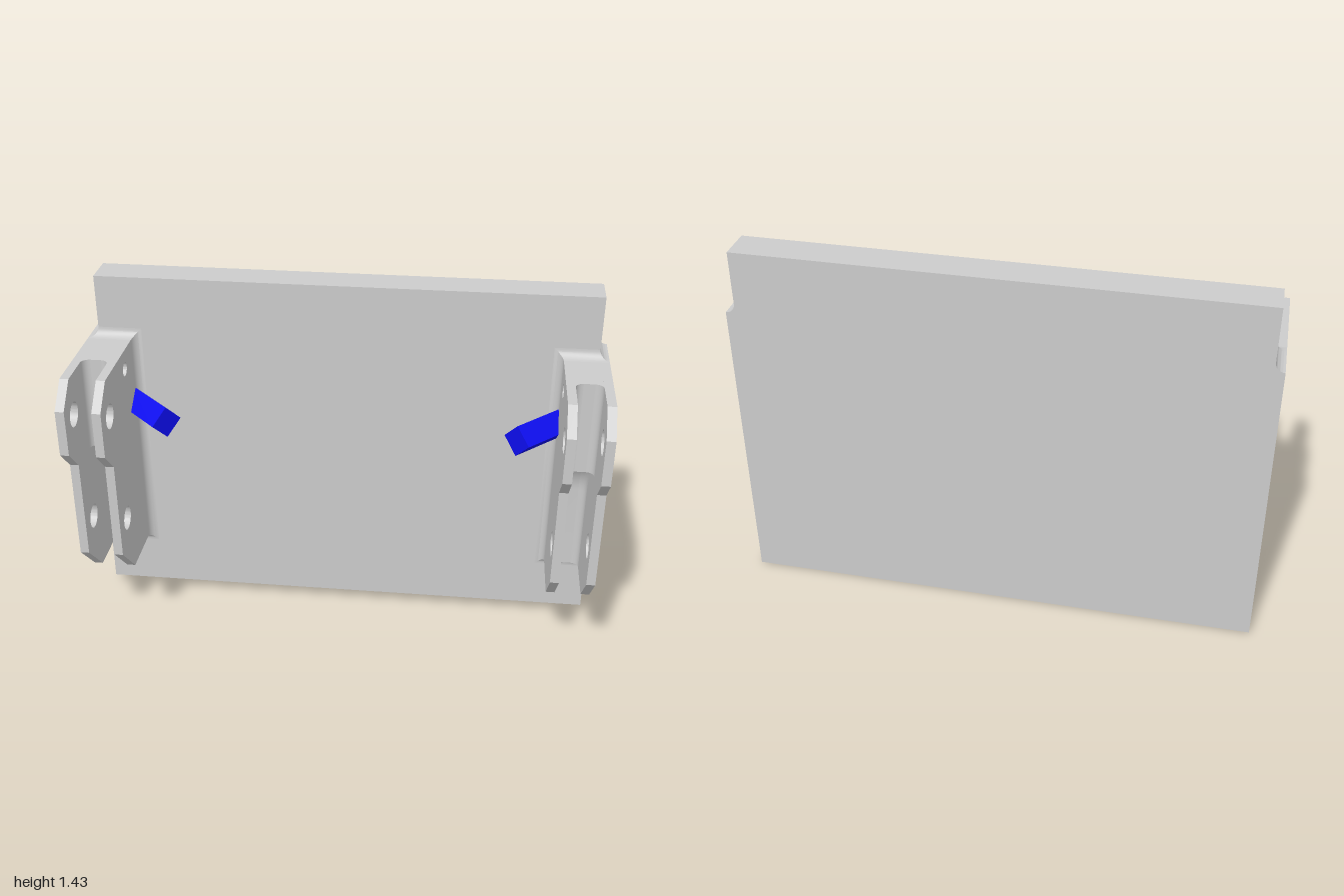
import * as THREE from 'three';
import { toCreasedNormals } from 'three/addons/utils/BufferGeometryUtils.js';

const FRONT = -0.173, BACK = -0.31;       // plate faces
const TOP = 1.185, BOTTOM = 0.283;        // bracket height range
const INNER = 0.83, CHEEK = 0.034, R = 0.036;
const SLOT_IN = INNER + CHEEK, SLOT_OUT = 1 - CHEEK;

const grey = new THREE.MeshStandardMaterial({ color: 0xcccccc, side: THREE.DoubleSide });
const blue = new THREE.MeshStandardMaterial({ color: 0x0d0dee });

function part(name, geometry, material = grey) {
  const mesh = new THREE.Mesh(toCreasedNormals(geometry, 0.5), material);
  mesh.name = name;
  return mesh;
}

// Surface through rows of equally many [x, y, z] points
function loft(rows) {
  const n = rows[0].length, index = [];
  for (let i = 0; i < rows.length - 1; i++) {
    for (let j = 0; j < n - 1; j++) {
      const a = i * n + j, b = a + n;
      index.push(a, b, a + 1, b, b + 1, a + 1);
    }
  }
  const g = new THREE.BufferGeometry();
  g.setAttribute('position', new THREE.Float32BufferAttribute(rows.flat(2), 3));
  g.setIndex(index);
  g.computeVertexNormals();
  return g;
}

// Side outline given as (z, y), with round holes [z, y, r], extruded from x0 to x1
function sideExtrude(points, holes, x0, x1) {
  const shape = new THREE.Shape(points.map(([z, y]) => new THREE.Vector2(-z, y)));
  for (const [z, y, r] of holes) {
    shape.holes.push(new THREE.Path().absarc(-z, y, r, 0, Math.PI * 2, true));
  }
  const g = new THREE.ExtrudeGeometry(shape, { depth: x1 - x0, bevelEnabled: false, curveSegments: 24 });
  return g.rotateY(Math.PI / 2).translate(x0, 0, 0);
}

// Concave quarter arc as [distance, height] pairs
const concave = (r, n = 8) => Array.from({ length: n + 1 }, (_, i) => {
  const a = (i / n) * Math.PI / 2;
  return [r - r * Math.sin(a), r - r * Math.cos(a)];
});

// Back plate with narrower top and sloping bottom edge
function plate() {
  const s = new THREE.Shape();
  s.moveTo(-1, 0);
  s.lineTo(1, 0);
  s.lineTo(1, TOP);
  s.absarc(1, TOP + R, R, -Math.PI / 2, -Math.PI, true);
  s.lineTo(1 - R, 1.43);
  s.lineTo(R - 1, 1.43);
  s.lineTo(R - 1, TOP + R);
  s.absarc(-1, TOP + R, R, 0, -Math.PI / 2, true);
  s.lineTo(-1, 0);
  const g = new THREE.ExtrudeGeometry(s, { depth: FRONT - BACK, bevelEnabled: false, curveSegments: 8 });
  g.translate(0, 0, BACK);
  const p = g.attributes.position;
  for (let i = 0; i < p.count; i++) {
    if (p.getY(i) < 0.01 && p.getZ(i) > FRONT - 0.01) p.setY(i, 0.05);
  }
  return part('backPlate', g);
}

function bracket(name) {
  const group = new THREE.Group();
  group.name = name;
  const pinHole = [-0.03, 1.112, 0.027];

  // Two cheeks with a bottom fillet into the plate
  const outline = [
    [FRONT, TOP], [0.225, TOP], [0.315, 1.095], [0.315, 0.915], [0.225, 0.825],
    [0.225, 0.428], [0.08, BOTTOM],
    ...concave(R).map(([d, h]) => [FRONT + h, BOTTOM - d]).reverse(),
  ];
  const holes = [[0.21, 1.033, 0.048], [0.12, 0.535, 0.048], pinHole];
  group.add(part('innerCheek', sideExtrude(outline, holes, INNER, SLOT_IN)));
  group.add(part('outerCheek', sideExtrude(outline, holes, SLOT_OUT, 1)));

  // Core behind the slot: shallow above, deep below, joined by an arc
  const floor = [[-0.137, BOTTOM]];
  for (let i = 0; i <= 12; i++) {
    const a = (i / 12) * Math.PI / 2;
    floor.push([0.053 - 0.19 * Math.cos(a), 0.63 + 0.19 * Math.sin(a)]);
  }
  floor.push([0.053, TOP]);
  const foot = concave(R).map(([d, h]) => [FRONT + h, BOTTOM - d]);
  group.add(part('slotCore',
    sideExtrude([[FRONT, TOP], ...foot, ...floor], [pinHole], SLOT_IN, SLOT_OUT)));

  // Rounded corners along the slot floor, closed at both ends
  for (const [x, dir] of [[SLOT_IN, 1], [SLOT_OUT, -1]]) {
    const arc = concave(0.03, 5);
    const rows = floor.map(([z, y]) => arc.map(([d, h]) => [x + dir * d, y, z + h]));
    const cap = ([z, y]) => arc.map(() => [x, y, z]);
    rows.unshift(cap(floor[0]));
    rows.push(cap(floor[floor.length - 1]));
    group.add(part('slotCorner', loft(rows)));
  }

  // Mitred fillet around the bracket root, turning into the plate's shoulder
  const arc = concave(R);
  const stations = [
    (d, h) => [1 - R + h, TOP + d, FRONT],
    (d, h) => [1 - R + h, TOP + d, FRONT + h],
    (d, h) => [INNER - d, TOP + d, FRONT + h],
    (d, h) => [INNER - d, BOTTOM - d, FRONT + h],
    (d, h) => [1, BOTTOM - d, FRONT + h],
  ];
  group.add(part('rootFillet', loft(stations.map((f) => arc.map(([d, h]) => f(d, h))))));

  // Diagonal square peg, set on edge
  const length = 0.25, side = 0.09;
  const g = new THREE.BoxGeometry(side, side, length);
  g.rotateZ(Math.PI / 4).translate(0, 0, -length / 2).rotateY(-Math.PI / 4);
  g.translate(0.672, 0.913, 0.01);
  group.add(part('peg', g, blue));
  return group;
}

export function createModel() {
  const model = new THREE.Group();
  model.name = 'mountingPlate';
  const left = bracket('leftBracket');
  const right = bracket('rightBracket');
  right.scale.x = -1;
  model.add(plate(), left, right);
  return model;
}
